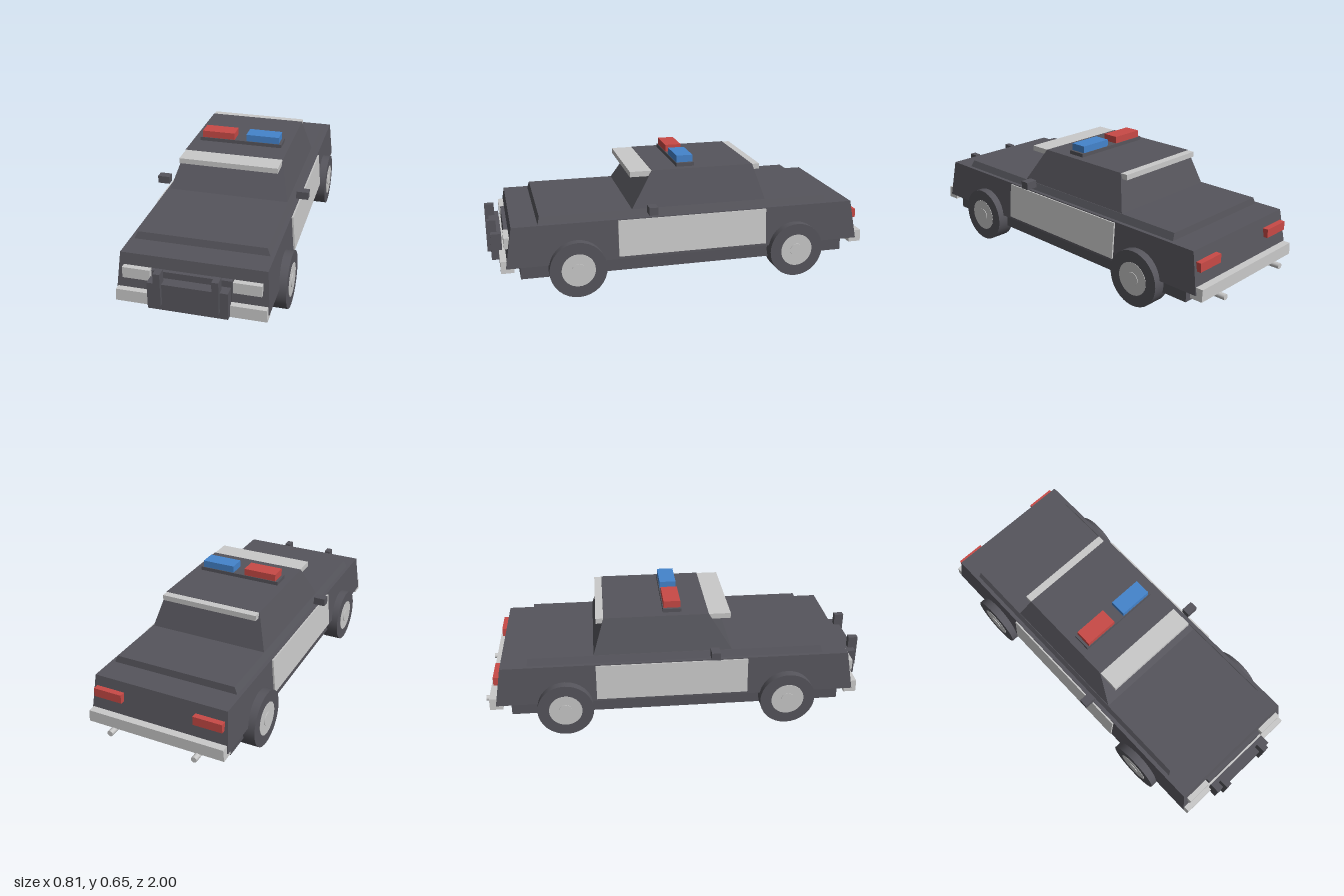
import * as THREE from 'three';

const mat = (name, color) => {
  const m = new THREE.MeshStandardMaterial({ color });
  m.name = name;
  return m;
};

export function createModel() {
  const car = new THREE.Group();
  car.name = 'patrolCar';
  const dark = mat('charcoal', 0x56555c);
  const light = mat('lightGrey', 0xc9c9c9);
  const red = mat('red', 0xc84a46);
  const blue = mat('blue', 0x4484cc);

  const add = (name, geometry, material) => {
    const mesh = new THREE.Mesh(geometry, material);
    mesh.name = name;
    car.add(mesh);
    return mesh;
  };

  // Plain block given by its limits on each axis
  const block = (name, material, x0, x1, y0, y1, z0, z1) =>
    add(name, new THREE.BoxGeometry(x1 - x0, y1 - y0, z1 - z0), material)
      .position.set((x0 + x1) / 2, (y0 + y1) / 2, (z0 + z1) / 2);

  // Tapered block: bottom and top are [half width, back z, front z]
  const taper = (name, material, y0, y1, bottom, top) => {
    const g = new THREE.BoxGeometry(2, 1, 1);
    const p = g.attributes.position;
    for (let i = 0; i < p.count; i++) {
      const up = p.getY(i) > 0;
      const [w, back, front] = up ? top : bottom;
      p.setXYZ(i, p.getX(i) * w, up ? y1 : y0, p.getZ(i) > 0 ? front : back);
    }
    g.computeVertexNormals();
    return add(name, g, material);
  };

  // Body shell
  block('chassis', dark, -0.34, 0.34, 0.1, 0.18, -0.86, 0.85);
  taper('body', dark, 0.17, 0.375, [0.366, -0.935, 0.92], [0.35, -0.9, 0.885]);
  taper('hoodAndTrunk', dark, 0.375, 0.41, [0.33, -0.765, 0.755], [0.315, -0.76, 0.745]);
  taper('cabin', dark, 0.41, 0.591, [0.312, -0.428, 0.28], [0.26, -0.37, 0.165]);
  block('roofVisor', light, -0.258, 0.258, 0.562, 0.5895, -0.41, 0.278);

  // Roof light bar
  block('lightBarBase', dark, -0.222, 0.222, 0.59, 0.61, -0.066, 0.028);
  block('redBeacon', red, -0.208, -0.032, 0.61, 0.646, -0.062, 0.024);
  block('blueBeacon', blue, 0.032, 0.208, 0.61, 0.646, -0.062, 0.024);

  // Bumpers, grille and push bar
  taper('frontBumper', light, 0.147, 0.208, [0.362, 0.88, 0.945], [0.358, 0.88, 0.945]);
  taper('rearBumper', light, 0.147, 0.208, [0.362, -0.967, -0.9], [0.358, -0.967, -0.9]);
  block('grille', dark, -0.19, 0.19, 0.2, 0.317, 0.88, 0.915);
  block('pushBarPlate', dark, -0.19, 0.19, 0.157, 0.293, 0.928, 0.982);

  for (const s of [-1, 1]) {
    const side = s > 0 ? 'left' : 'right';
    const pair = (name, material, x0, x1, ...rest) =>
      block(side + name, material, Math.min(s * x0, s * x1), Math.max(s * x0, s * x1), ...rest);
    pair('PushBarPost', dark, 0.12, 0.152, 0.19, 0.355, 0.95, 1);
    pair('Headlight', light, 0.197, 0.331, 0.262, 0.317, 0.88, 0.922);
    pair('TailLight', red, 0.19, 0.34, 0.278, 0.323, -0.938, -0.89);
    pair('Mirror', dark, 0.343, 0.405, 0.4, 0.44, 0.165, 0.21);

    // Door panel lying along the sloped body side
    const tilt = Math.atan2(0.016, 0.205);
    const door = add(side + 'DoorPanel', new THREE.BoxGeometry(0.009, 0.186, 0.78), light);
    door.position.set(s * 0.3615, 0.278, -0.03);
    door.rotation.z = s * tilt;

    // Exhaust pipe
    const pipe = add(side + 'Exhaust', new THREE.CylinderGeometry(0.015, 0.015, 0.12, 12), light);
    pipe.rotation.x = Math.PI / 2;
    pipe.position.set(s * 0.225, 0.135, -0.94);

    // Wheels with hub caps
    for (const [end, z] of [['Front', 0.57], ['Rear', -0.582]]) {
      const disc = (name, r, x0, x1, material) => {
        const d = add(side + end + name, new THREE.CylinderGeometry(r, r, x1 - x0, 32), material);
        d.rotation.z = Math.PI / 2;
        d.position.set(s * (x0 + x1) / 2, 0.144, z);
      };
      disc('Tyre', 0.144, 0.305, 0.4, dark);
      disc('HubCap', 0.085, 0.38, 0.402, light);
      disc('HubCentre', 0.035, 0.38, 0.405, light);
    }
  }
  return car;
}
